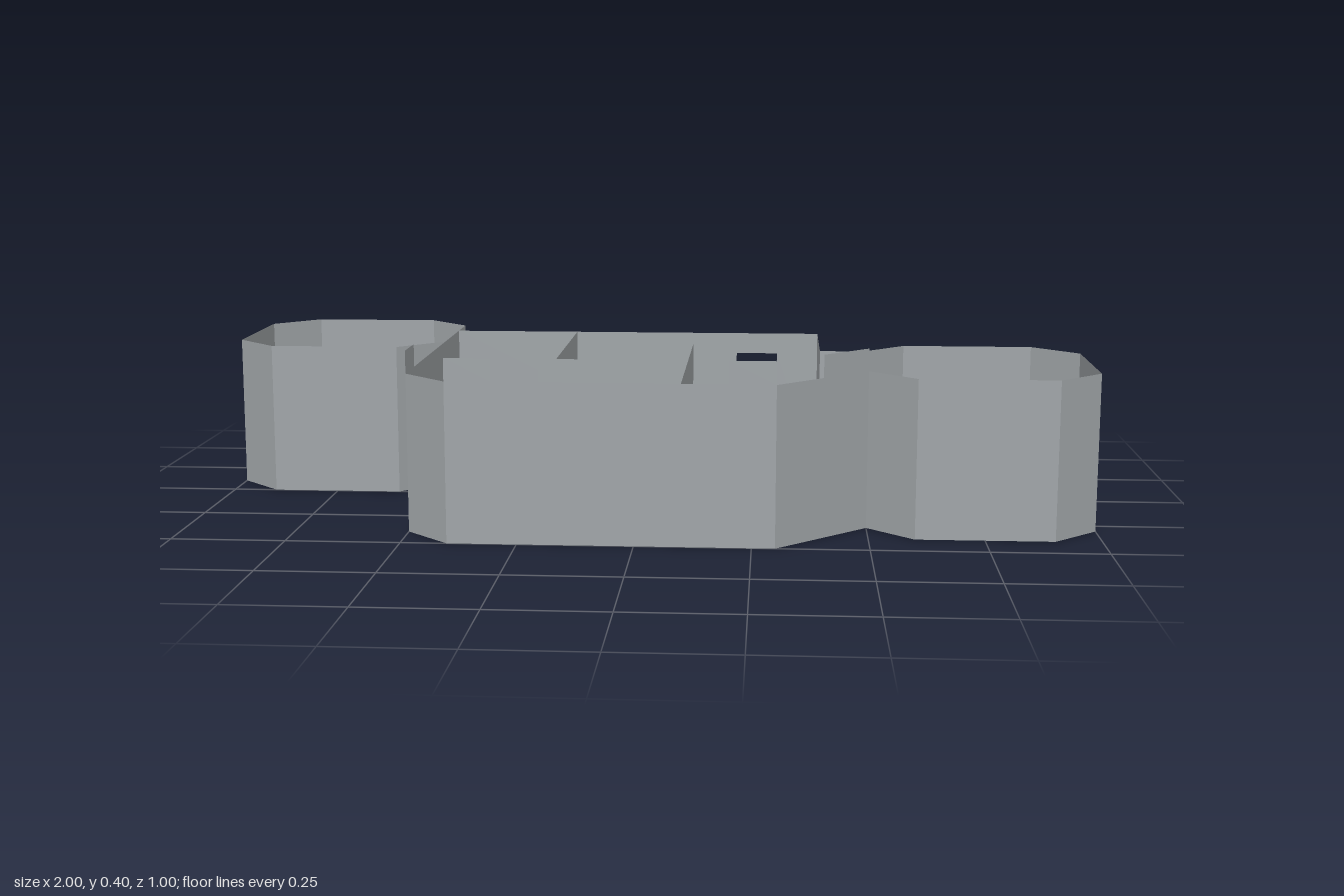
import * as THREE from 'three';

const WALL = 0.35, MERLON = 0.4;

export function createModel() {
  const model = new THREE.Group();
  model.name = 'fort';
  const stone = new THREE.MeshStandardMaterial({ color: 0xa0a5a8, side: THREE.DoubleSide });
  stone.name = 'grey stone';

  const addMesh = (parent, name, geometry) => {
    const mesh = new THREE.Mesh(geometry, stone);
    mesh.name = name;
    parent.add(mesh);
    return mesh;
  };
  const shapeOf = (points) => new THREE.Shape(points.map(([x, y]) => new THREE.Vector2(x, y)));

  // Upright sheet from a to b (x, z pairs); the outline is in distance along the wall and height
  function sheet(parent, name, a, b, outline) {
    const dir = new THREE.Vector3(b[0] - a[0], 0, b[1] - a[1]).normalize();
    const up = new THREE.Vector3(0, 1, 0);
    const basis = new THREE.Matrix4().makeBasis(dir, up, dir.clone().cross(up));
    basis.setPosition(a[0], 0, a[1]);
    addMesh(parent, name, new THREE.ShapeGeometry(shapeOf(outline)).applyMatrix4(basis));
  }

  // Plain wall, with optional merlons given as [start, end] distances
  function wall(parent, name, a, b, merlons = []) {
    const length = Math.hypot(b[0] - a[0], b[1] - a[1]);
    const top = [[0, WALL]];
    for (const [s, e] of merlons) top.push([s, WALL], [s, MERLON], [e, MERLON], [e, WALL]);
    top.push([length, WALL]);
    const outline = [[0, 0], ...top, [length, 0]]
      .filter((p, i, all) => i === 0 || p[0] !== all[i - 1][0] || p[1] !== all[i - 1][1]);
    sheet(parent, name, a, b, outline);
  }

  function floor(parent, name, points) {
    const geometry = new THREE.ShapeGeometry(shapeOf(points.map(([x, z]) => [x, -z])));
    addMesh(parent, name, geometry.rotateX(-Math.PI / 2));
  }

  // Eight-sided open tower; doorSide is an optional side index with a gap in its middle
  function tower(name, cx, cz, doorSide = -1) {
    const group = new THREE.Group();
    group.name = name;
    model.add(group);
    const p = [[0.25, 0.15], [0.25, -0.15], [0.15, -0.25], [-0.15, -0.25],
      [-0.25, -0.15], [-0.25, 0.15], [-0.15, 0.25], [0.15, 0.25]]
      .map(([x, z]) => [cx + x, cz + z]);
    floor(group, 'towerFloor', p);
    p.forEach((a, i) => {
      const b = p[(i + 1) % 8];
      if (i !== doorSide) return wall(group, 'towerWall', a, b);
      const at = (t) => [a[0] + (b[0] - a[0]) * t, a[1] + (b[1] - a[1]) * t];
      wall(group, 'doorJamb', a, at(1 / 3));
      wall(group, 'doorJamb', at(2 / 3), b);
    });
  }

  tower('rightTower', -0.75, -0.25);
  tower('leftTower', 0.75, 0.15, 4);

  // Main hall floor, running out past the back wall as a terrace
  const hall = new THREE.Group();
  hall.name = 'hall';
  model.add(hall);
  floor(hall, 'hallFloor', [[-0.4, -0.5], [0.3, -0.5], [0.4, -0.4], [0.4, 0], [0.5, 0],
    [0.5, 0.3], [0.3, 0.5], [-0.4, 0.5], [-0.5, 0.4], [-0.5, -0.4]]);

  // Battlemented front
  wall(hall, 'frontWall', [-0.4, 0.5], [0.3, 0.5], [0, 0.2, 0.4, 0.6].map((s) => [s, s + 0.1]));
  wall(hall, 'rightFrontCorner', [-0.5, 0.4], [-0.4, 0.5]);
  wall(hall, 'rightWall', [-0.5, -0.1], [-0.5, 0.4], [[0.4, 0.5]]);
  wall(hall, 'leftFrontCorner', [0.3, 0.5], [0.4, 0.4]);
  wall(hall, 'leftFrontCorner', [0.4, 0.4], [0.5, 0.3], [[0, Math.hypot(0.1, 0.1)]]);

  // Left side and the back wall with its doorway
  wall(hall, 'passageWall', [0.5, 0], [0.4, 0]);
  wall(hall, 'leftWall', [0.4, 0], [0.4, -0.3]);
  sheet(hall, 'backWall', [-0.5, -0.3], [0.4, -0.3],
    [[0, 0], [0, WALL], [0.9, WALL], [0.9, 0], [0.8, 0], [0.8, 0.3], [0.7, 0.3], [0.7, 0]]);

  // Inner partitions
  wall(hall, 'partition', [-0.2, -0.3], [-0.2, 0.5]);
  wall(hall, 'partition', [0.1, -0.1], [0.1, 0.5]);

  return model;
}
